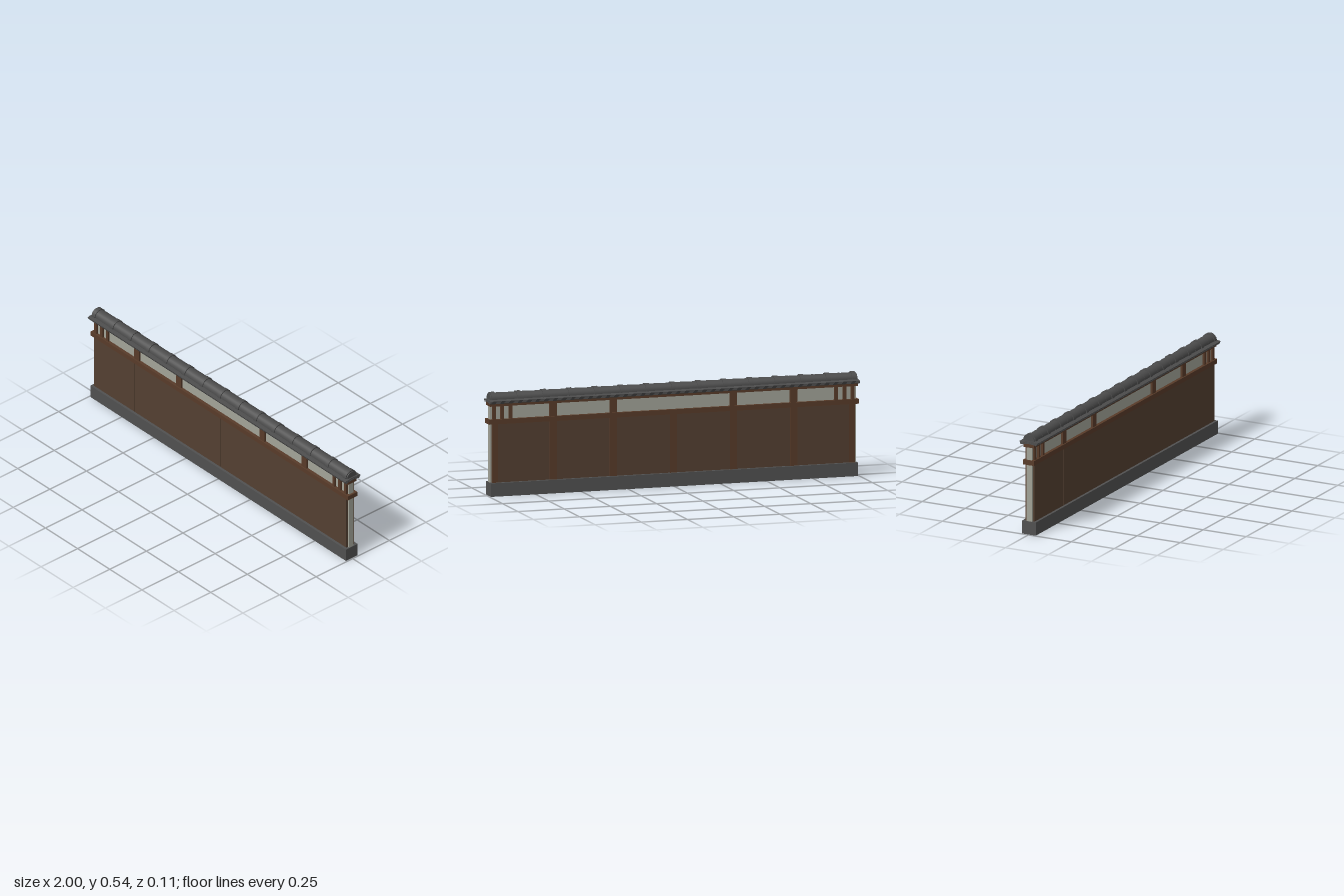
import * as THREE from 'three';

const mat = (name, color) => {
  const m = new THREE.MeshStandardMaterial({ color });
  m.name = name;
  return m;
};

export function createModel() {
  const stone = mat('stone grey', 0x505050);
  const tile = mat('tile grey', 0x4c4c4c);
  const timber = mat('timber brown', 0x583b29);
  const board = mat('board brown', 0x533f31);
  const plaster = mat('plaster', 0xa2a398);

  const model = new THREE.Group();
  model.name = 'gardenWall';

  const add = (name, geometry, material, x = 0, y = 0, z = 0) => {
    const mesh = new THREE.Mesh(geometry, material);
    mesh.name = name;
    mesh.position.set(x, y, z);
    model.add(mesh);
    return mesh;
  };
  // Box given by its extents on each axis
  const box = (name, material, [x0, x1], [y0, y1], [z0, z1]) =>
    add(name, new THREE.BoxGeometry(x1 - x0, y1 - y0, z1 - z0), material,
      (x0 + x1) / 2, (y0 + y1) / 2, (z0 + z1) / 2);

  // Plinth and plaster core
  box('plinth', stone, [-0.993, 0.993], [0, 0.07], [-0.04, 0.04]);
  box('plasterCore', plaster, [-0.99, 0.99], [0.07, 0.48], [-0.015, 0.015]);

  // Lower boarding: flush in front, recessed between posts behind
  const joints = [-0.98, -0.667, 0, 0.667, 0.98];
  for (let i = 0; i < 4; i++) {
    box('frontBoard', board, [joints[i] + 0.0008, joints[i + 1] - 0.0008], [0.07, 0.378], [0.015, 0.026]);
  }
  box('backBoard', board, [-0.98, 0.98], [0.07, 0.378], [-0.021, -0.015]);

  // Back posts below the rail
  for (const x of [-0.965, -0.65, -0.325, 0, 0.325, 0.65, 0.965]) {
    const w = Math.abs(x) > 0.9 ? 0.015 : 0.019;
    box('backPost', timber, [x - w, x + w], [0.07, 0.378], [-0.026, -0.015]);
  }

  // Horizontal rails
  box('middleRail', timber, [-1, 1], [0.375, 0.4], [-0.032, 0.032]);
  box('topBeam', timber, [-0.995, 0.995], [0.468, 0.493], [-0.031, 0.031]);

  // Short posts in the open plaster band, on both faces
  for (const side of [-1, 1]) {
    for (const end of [-1, 1]) {
      for (const [x, w] of [[0.325, 0.019], [0.65, 0.019], [0.88, 0.009], [0.925, 0.009], [0.97, 0.009]]) {
        const z = side > 0 ? [0.014, 0.026] : [-0.026, -0.014];
        box('bandPost', timber, [end * x - w, end * x + w], [0.395, 0.472], z);
      }
    }
  }

  // Curved eaves: three overlapping thin layers, arched across the wall
  const eave = (halfWidth, top, drop, thickness) => {
    const s = new THREE.Shape();
    s.moveTo(-halfWidth, top - drop);
    s.quadraticCurveTo(0, top + drop, halfWidth, top - drop);
    s.lineTo(halfWidth - 0.002, top - drop - thickness);
    s.quadraticCurveTo(0, top + drop - thickness, -halfWidth + 0.002, top - drop - thickness);
    s.closePath();
    const g = new THREE.ExtrudeGeometry(s, { depth: 2, bevelEnabled: false, curveSegments: 8 });
    return g.translate(0, 0, -1).rotateY(Math.PI / 2);
  };
  [[0.053, 0.503], [0.05, 0.4975], [0.047, 0.492]].forEach(([w, top]) =>
    add('eaveTiles', eave(w, top, 0.0055, 0.004), tile));

  // Half-round ridge piece, lying along x
  const halfRound = (name, x0, x1, r0, r1) => {
    const s = new THREE.CylinderGeometry(r1, r0, x1 - x0, 14, 1, false, Math.PI, Math.PI);
    s.rotateZ(-Math.PI / 2);
    const m = add(name, s, tile, (x0 + x1) / 2, 0.503, 0);
    return m;
  };
  tile.side = THREE.DoubleSide;

  // Ridge tiles with raised joint rings and a shallow seam halfway
  const count = 14, pitch = 1.95 / count;
  for (let i = 0; i <= count; i++) {
    const x = -0.975 + i * pitch;
    halfRound('ridgeRing', x - 0.012, x + 0.012, 0.037, 0.037);
    if (i < count) {
      const mid = x + pitch / 2;
      halfRound('ridgeTile', x, mid, 0.032, 0.032);
      halfRound('ridgeTile', mid, x + pitch, 0.033, 0.033);
    }
  }
  for (const end of [-1, 1]) {
    halfRound('ridgeEndCap', end * 0.989 - 0.004, end * 0.989 + 0.004, 0.031, 0.031);
  }
  return model;
}
